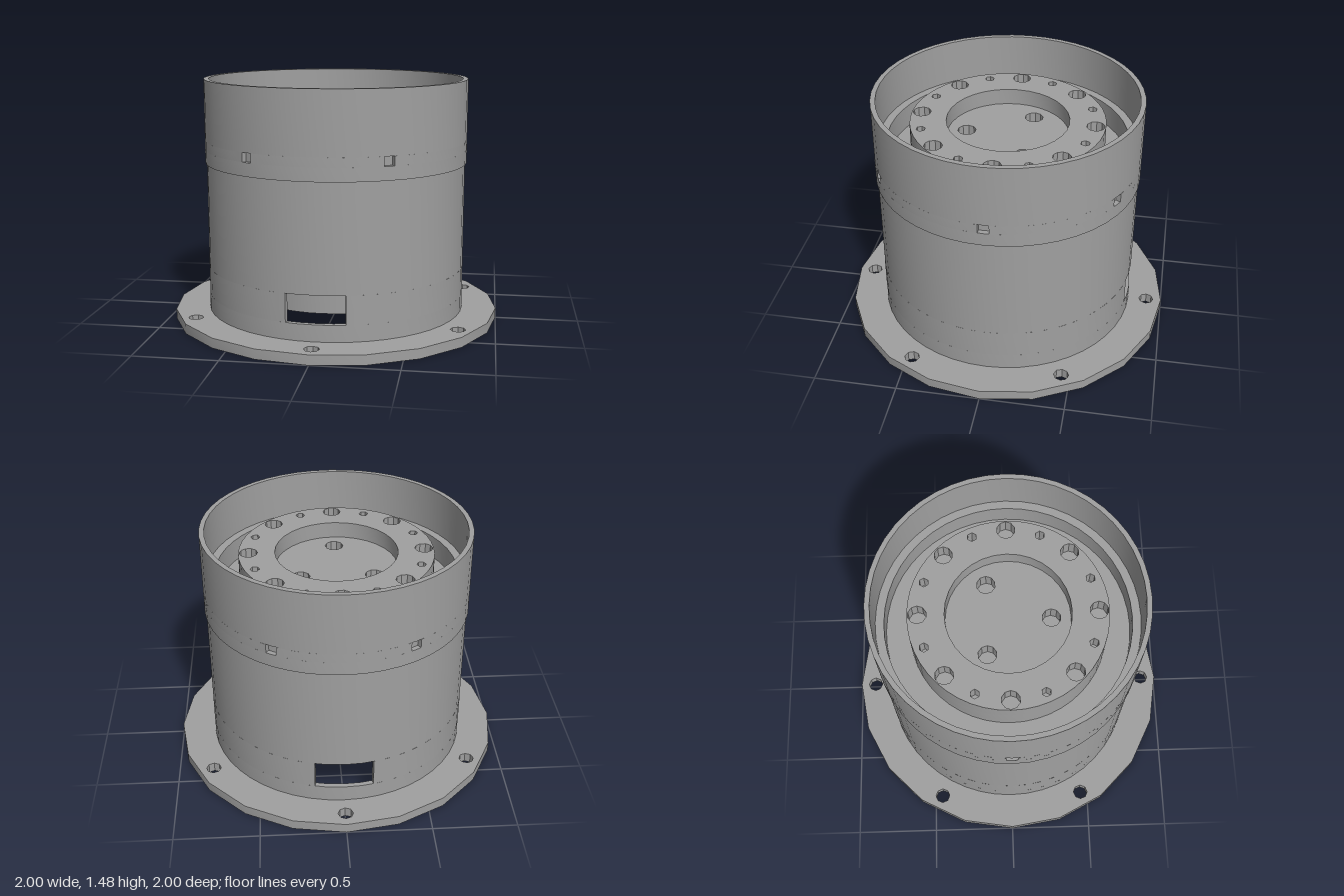
import * as THREE from 'three';
import { toCreasedNormals } from 'three/addons/utils/BufferGeometryUtils.js';

const TAU = Math.PI * 2;
const SEG = 48;

// Points along an arc, angles measured from +x towards -z
const arc = (r, a0, a1, n, cx = 0, cy = 0) => Array.from({ length: n + 1 }, (_, i) => {
  const a = a0 + (a1 - a0) * i / n;
  return new THREE.Vector2(cx + r * Math.cos(a), cy + r * Math.sin(a));
});
const circle = (r, n = SEG, cx = 0, cy = 0) => arc(r, 0, TAU, n, cx, cy).slice(0, -1);

// Round hole of radius h on a pitch circle of radius r
const bore = (r, a, h, n = 10) => circle(h, n, r * Math.cos(a), r * Math.sin(a));

export function createModel() {
  const model = new THREE.Group();
  const grey = new THREE.MeshStandardMaterial({ color: 0xa0a0a0 });
  grey.name = 'metal grey';

  // Extrudes a plan outline with holes between two heights
  const slab = (name, outline, holes, y0, y1, parent = model) => {
    const shape = new THREE.Shape(outline);
    shape.holes = holes.map(h => new THREE.Path(h));
    const geo = new THREE.ExtrudeGeometry(shape, { depth: y1 - y0, bevelEnabled: false });
    geo.rotateX(-Math.PI / 2).translate(0, y0, 0);
    const mesh = new THREE.Mesh(toCreasedNormals(geo, 0.5), grey);
    mesh.name = name;
    parent.add(mesh);
  };

  // Ring wall with a row of equal openings between heights h0 and h1
  const openWall = (name, rOut, rIn, y0, h0, h1, y1, count, start, half) => {
    const wall = new THREE.Group();
    wall.name = name;
    slab(name + 'Lower', circle(rOut), [circle(rIn)], y0, h0, wall);
    slab(name + 'Upper', circle(rOut), [circle(rIn)], h1, y1, wall);
    const step = TAU / count;
    for (let i = 0; i < count; i++) {
      const a0 = start + i * step + half, a1 = start + (i + 1) * step - half;
      const n = Math.ceil(SEG / count);
      const outline = [...arc(rOut, a0, a1, n), ...arc(rIn, a1, a0, n)];
      slab(name + 'Pier' + i, outline, [], h0, h1, wall);
    }
    model.add(wall);
  };

  // Base flange with six bolt holes
  const flangeHoles = [0, 1, 2, 3, 4, 5].map(i => bore(0.905, Math.PI / 6 + i * TAU / 6, 0.045, 8));
  slab('baseFlange', circle(1, 20), [circle(0.77), ...flangeHoles], 0, 0.06);

  // Lower housing with a window at the front and back
  openWall('housing', 0.79, 0.76, 0.06, 0.16, 0.33, 0.97, 2, Math.PI / 2, 0.22);

  // Upper sleeve with six small screw holes
  openWall('sleeve', 0.8, 0.77, 0.97, 1.05, 1.105, 1.475, 6, 0, 0.04);

  // Inner lip and shelf that carry the core
  slab('innerLip', circle(0.771), [circle(0.72)], 0.97, 1.2);
  slab('shelf', circle(0.722), [circle(0.56)], 1.0, 1.06);

  // Core body, closed underneath
  slab('coreBody', circle(0.58), [], 0.16, 1.11);

  // Recess floor with three screw holes
  const floorHoles = [0, 1, 2].map(i => bore(0.25, -Math.PI / 2 + i * TAU / 3, 0.055));
  slab('recessFloor', circle(0.58), floorHoles, 1.11, 1.21);

  // Top ring with alternating large and small holes
  const ringHoles = [];
  for (let i = 0; i < 8; i++) {
    ringHoles.push(bore(0.52, i * TAU / 8, 0.054));
    ringHoles.push(bore(0.52, (i + 0.5) * TAU / 8, 0.028, 6));
  }
  slab('topRing', circle(0.58), [circle(0.365, 32), ...ringHoles], 1.21, 1.31);

  return model;
}
